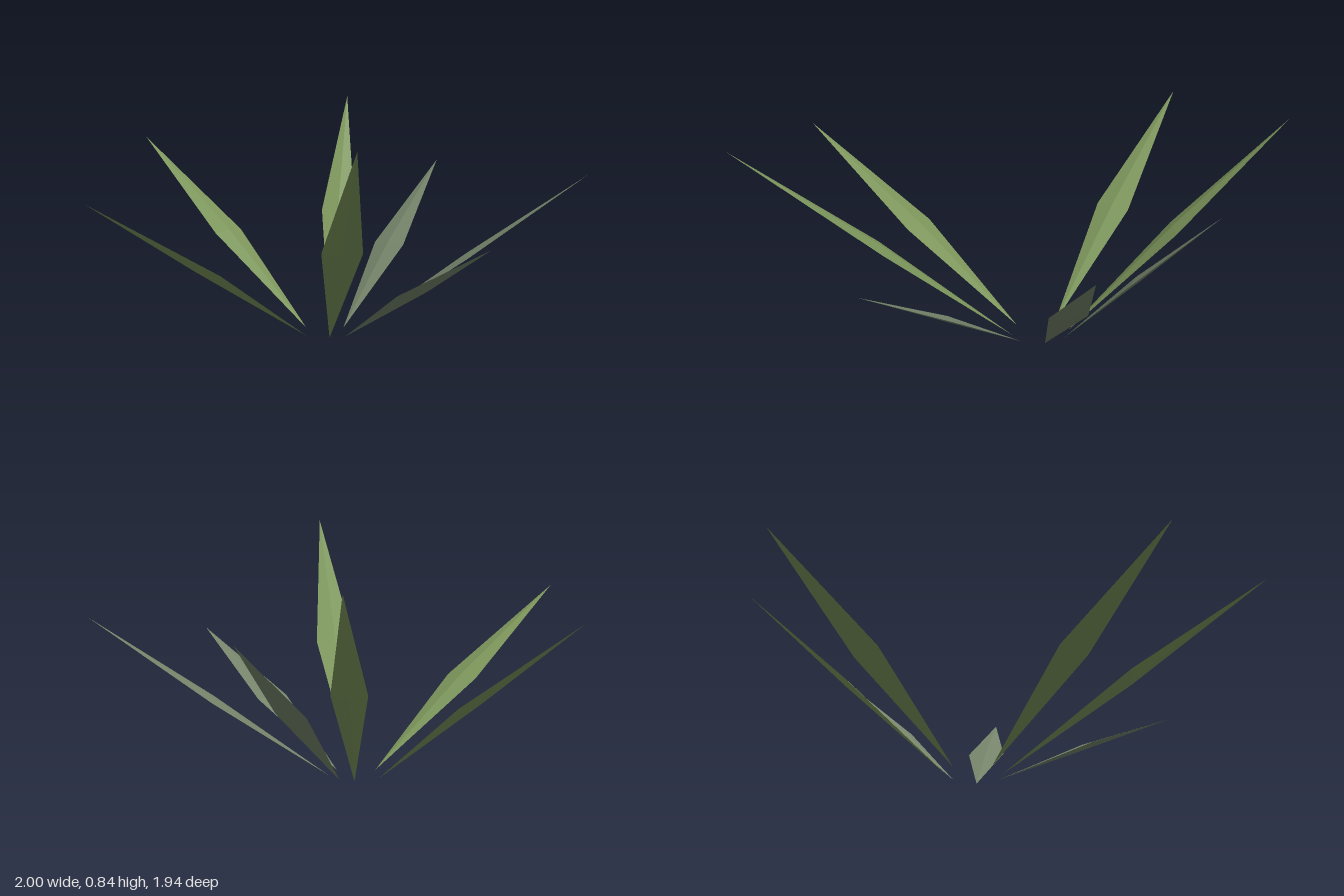
import * as THREE from 'three';

const V = (a) => new THREE.Vector3(...a);

// Flattened, pointed leaf: base, tip and two side corners, with a shallow ridge above and below
function leafGeometry(base, tip, sideA, sideB, halfThickness = 0.011) {
  const b = V(base), t = V(tip), p = V(sideA), q = V(sideB);
  const normal = t.clone().sub(b).cross(q.clone().sub(p)).normalize();
  if (normal.y < 0) {
    normal.negate();
  }
  const mid = p.clone().add(q).multiplyScalar(0.5);
  const top = mid.clone().addScaledVector(normal, halfThickness);
  const under = mid.clone().addScaledVector(normal, -halfThickness);
  const ring = [p, top, q, under];
  const centre = b.clone().add(t).add(p).add(q).multiplyScalar(0.25);
  const points = [];
  ring.forEach((r, i) => {
    const s = ring[(i + 1) % 4];
    for (const end of [b, t]) {
      // Keep every facet turned outward
      const n = r.clone().sub(end).cross(s.clone().sub(end));
      const outward = r.clone().add(s).multiplyScalar(0.5).sub(centre);
      points.push(...(n.dot(outward) > 0 ? [end, r, s] : [end, s, r]));
    }
  });
  const geometry = new THREE.BufferGeometry().setFromPoints(points);
  geometry.computeVertexNormals();
  return geometry;
}

export function createModel() {
  const green = new THREE.MeshStandardMaterial({ color: 0x7b945a });
  green.name = 'leafGreen';
  const grey = new THREE.MeshStandardMaterial({ color: 0x748369 });
  grey.name = 'greyGreen';

  // name, material, base, tip, two side corners
  const leaves = [
    ['frontLeaf', green, [0.03, 0, -0.07], [0.12, 0.61, 0.97], [0, 0.3, 0.43], [0.14, 0.3, 0.41]],
    ['frontLeftLeaf', green, [0.11, 0, -0.12], [1, 0.84, 0.45], [0.58, 0.41, 0.09], [0.49, 0.41, 0.21]],
    ['leftLeaf', grey, [0.13, 0, -0.18], [0.97, 0.45, -0.18], [0.53, 0.225, -0.25], [0.53, 0.225, -0.11]],
    ['backLeftLeaf', grey, [0.08, 0, -0.26], [0.63, 0.62, -0.97], [0.29, 0.3, -0.65], [0.4, 0.3, -0.56]],
    ['backLeaf', grey, [-0.01, 0, -0.28], [-0.17, 0.61, -0.89], [-0.15, 0.3, -0.55], [-0.02, 0.3, -0.59]],
    ['backRightLeaf', green, [-0.06, 0, -0.25], [-0.67, 0.84, -0.81], [-0.31, 0.41, -0.57], [-0.4, 0.41, -0.47]],
    ['rightLeaf', green, [-0.09, 0, -0.16], [-1, 0.69, 0], [-0.53, 0.34, -0.155], [-0.51, 0.34, -0.015]],
  ];

  const group = new THREE.Group();
  group.name = 'spikyPlant';
  for (const [name, material, ...corners] of leaves) {
    const leaf = new THREE.Mesh(leafGeometry(...corners), material);
    leaf.name = name;
    group.add(leaf);
  }
  return group;
}
